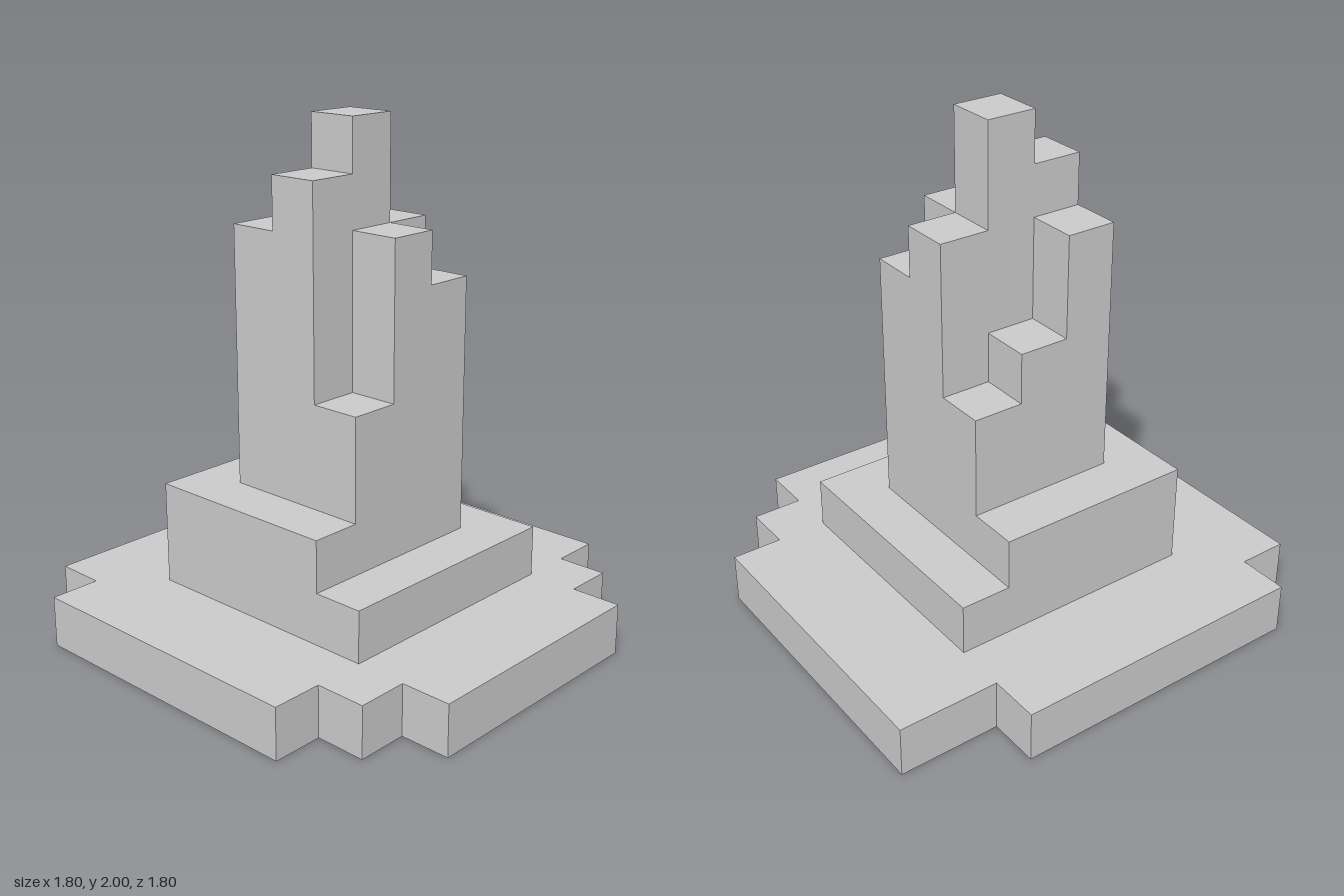
import * as THREE from 'three';

const UNIT = 0.2;

export function createModel() {
  const group = new THREE.Group();
  const stone = new THREE.MeshStandardMaterial({ color: 0xcacaca });
  stone.name = 'pale grey stone';

  const add = (name, geometry) => {
    const mesh = new THREE.Mesh(geometry, stone);
    mesh.name = name;
    group.add(mesh);
    return mesh;
  };
  const addBox = (name, x0, x1, y0, y1, z0, z1) => {
    const mesh = add(name, new THREE.BoxGeometry(x1 - x0, y1 - y0, z1 - z0));
    mesh.position.set((x0 + x1) / 2, (y0 + y1) / 2, (z0 + z1) / 2);
  };

  // Base slab with unevenly notched corners, outlined in x and z
  const outline = [
    [-0.7, -0.9], [0.5, -0.9], [0.5, -0.7], [0.9, -0.7],
    [0.9, 0.5], [0.7, 0.5], [0.7, 0.7], [0.5, 0.7],
    [0.5, 0.9], [-0.5, 0.9], [-0.5, 0.7], [-0.7, 0.7],
    [-0.7, 0.5], [-0.9, 0.5], [-0.9, -0.7], [-0.7, -0.7],
  ];
  const shape = new THREE.Shape(outline.map(([x, z]) => new THREE.Vector2(x, -z)));
  const slab = new THREE.ExtrudeGeometry(shape, { depth: UNIT, bevelEnabled: false });
  add('baseSlab', slab.rotateX(-Math.PI / 2));

  // Two steps above the slab, the upper one set towards the back corner
  addBox('lowerStep', -0.5, 0.5, 0.2, 0.4, -0.5, 0.5);
  addBox('upperStep', -0.5, 0.3, 0.4, 0.6, -0.5, 0.3);

  // Tower: top heights of its columns, rows from back to front, x from - to +
  const heights = [
    [1.6, 1.2, 1.0],
    [1.8, 2.0, 1.6],
    [1.0, 1.6, 1.4],
  ];
  heights.forEach((row, k) => row.forEach((top, i) => {
    const x = -0.3 + i * UNIT;
    const z = -0.3 + k * UNIT;
    addBox(`towerColumn${k * 3 + i + 1}`, x, x + UNIT, 0.6, top, z, z + UNIT);
  }));

  return group;
}
